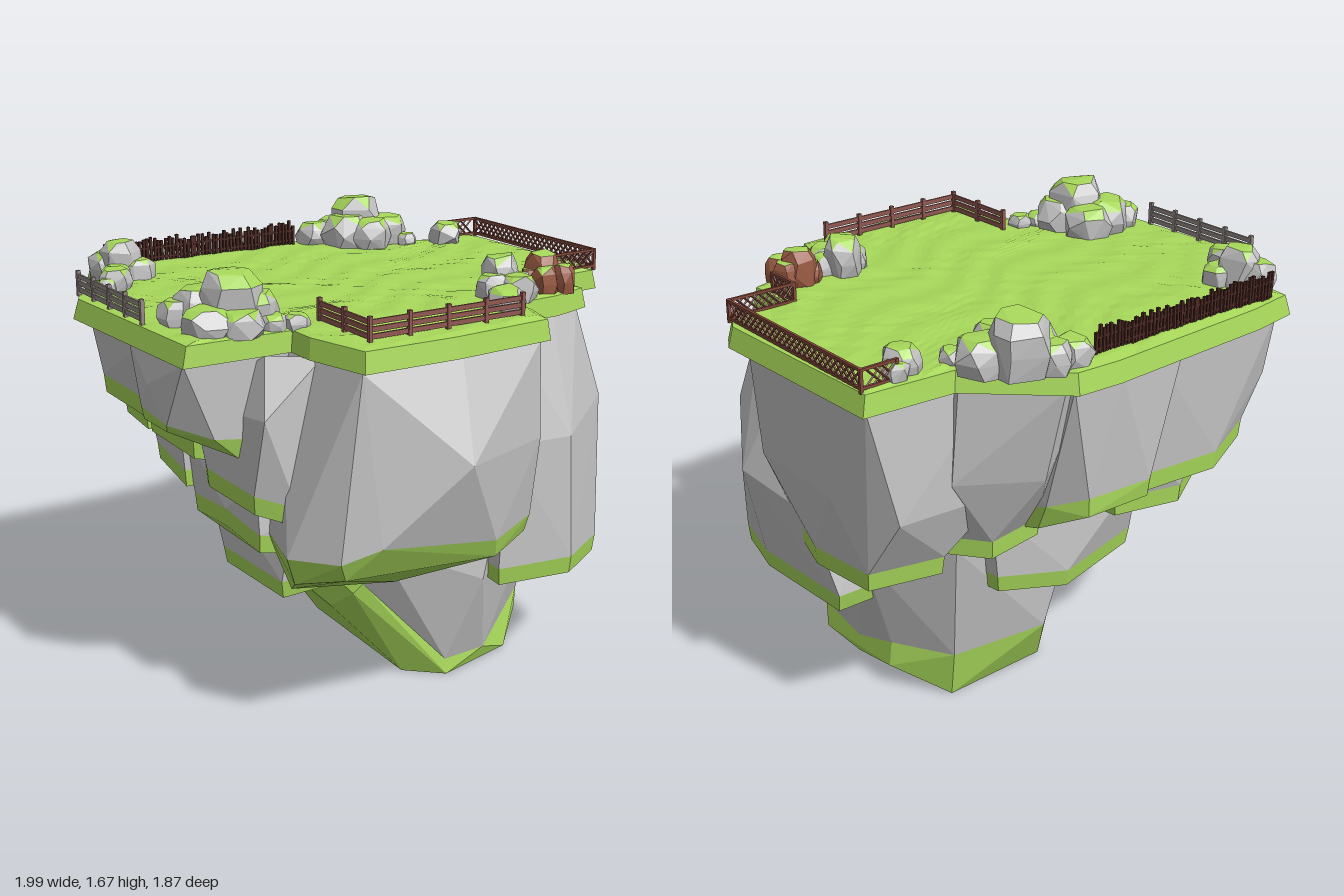
import * as THREE from 'three';
import { mergeGeometries } from 'three/addons/utils/BufferGeometryUtils.js';
import { ConvexGeometry } from 'three/addons/geometries/ConvexGeometry.js';

const mat = (name, color) => {
  const m = new THREE.MeshStandardMaterial({ color, flatShading: true });
  m.name = name;
  return m;
};
let seed = 7;
const rnd = () => (seed = (seed * 16807) % 2147483647) / 2147483647;
const V = (a) => new THREE.Vector3(...a);

export function createModel() {
  seed = 7;
  const root = new THREE.Group();
  const grass = mat('grass', 0xa7d75a), stone = mat('stone', 0xc2c2c2), clay = mat('clay', 0x9c5c44);
  const redWood = mat('redWood', 0x8f5850), darkWood = mat('darkWood', 0x4a2822);
  const brownWood = mat('brownWood', 0x84483a), greyWood = mat('greyWood', 0x948a86);
  const add = (name, geo, m, parent = root) => {
    const mesh = new THREE.Mesh(geo, m);
    mesh.name = name;
    parent.add(mesh);
    return mesh;
  };

  // Meadow slab, its rim flaring out towards the bottom
  const outline = [[-.77, -.87], [-.57, -.9], [.14, -.935], [.32, -.925], [.62, -.65], [.97, -.625], [.99, .15],
    [.95, .22], [.71, .24], [.71, .44], [.54, .49], [.33, .5], [.33, .61], [.29, .75], [-.13, .775], [-.5, .765],
    [-.56, .51], [-.56, .39], [-.97, .38], [-1, -.45], [-.96, -.53], [-.8, -.57]];
  const flare = 0.98;
  const shape = new THREE.Shape(outline.map(([x, z]) => new THREE.Vector2(x, -z)));
  const slab = new THREE.ExtrudeGeometry(shape, { depth: 0.075, bevelEnabled: false });
  slab.rotateX(-Math.PI / 2).translate(0, 1.4, 0);
  const sp = slab.attributes.position;
  for (let i = 0; i < sp.count; i++) {
    if (sp.getY(i) > 1.45) sp.setXYZ(i, sp.getX(i) * flare, 1.475, sp.getZ(i) * flare);
  }
  slab.computeVertexNormals();
  add('meadowSlab', slab, grass);

  // Gently bumpy turf: scaled copies of the outline joined into rings
  const edge = [];
  outline.forEach(([x, z], i) => {
    const [u, w] = outline[(i + 1) % outline.length];
    const n = Math.max(1, Math.round(Math.hypot(u - x, w - z) / 0.07));
    for (let k = 0; k < n; k++) edge.push([x + (u - x) * k / n, z + (w - z) * k / n]);
  });
  const bump = (x, z) => 0.003 * Math.sin(x * 13 + z * 31 + 2 * Math.sin(x * 9))
    + 0.002 * Math.sin(x * 37 - z * 23 + 2 * Math.sin(z * 17));
  const rings = 20, pos = [], idx = [], n = edge.length;
  for (let r = 0; r <= rings; r++) {
    const s = (1 - r / rings) * flare;
    for (const [x, z] of edge) pos.push(x * s, r === 0 ? 1.475 : 1.483 + bump(x * s, z * s), z * s);
  }
  for (let r = 0; r < rings; r++) for (let i = 0; i < n; i++) {
    const a = r * n + i, b = r * n + (i + 1) % n;
    idx.push(a, a + n, b);
    if (r < rings - 1) idx.push(b, a + n, b + n);
  }
  const turf = new THREE.BufferGeometry();
  turf.setAttribute('position', new THREE.Float32BufferAttribute(pos, 3));
  turf.setIndex(idx);
  turf.computeVertexNormals();
  add('turf', turf, grass);

  // Cliff chunks: faceted stone above a grassy underside
  const chunk = (name, upper, ring, lower) => {
    const c = ring.reduce((s, p) => s.add(V(p)), new THREE.Vector3()).divideScalar(ring.length);
    lower ??= ring.map(([x, y, z]) => [c.x + (x - c.x) * 0.97, y - 0.07, c.z + (z - c.z) * 0.97]);
    const g = new THREE.Group();
    g.name = name;
    root.add(g);
    add(name + 'Stone', new ConvexGeometry([...upper, ...ring].map(V)), stone, g);
    add(name + 'Grass', new ConvexGeometry([...ring, ...lower].map(V)), grass, g);
  };
  chunk('frontCliff',
    [[-.54, 1.4, .3], [-.5, 1.4, .75], [-.1, 1.4, .76], [.26, 1.4, .73], [.28, 1.4, .3], [-.17, 1.07, .93], [.25, 1.05, .76]],
    [[-.7, .73, .58], [-.6, .75, .77], [-.47, .8, .83], [.01, .73, .83], [.245, .745, .72], [.24, .74, .3], [-.6, .72, .25]],
    [[-.67, .63, .58], [-.57, .68, .75], [-.46, .73, .79], [.03, .655, .8], [.245, .67, .69], [.23, .59, .6],
      [.2, .56, .3], [-.55, .5, .35], [-.2, .5, .5]]);
  chunk('frontLeftCliff',
    [[.3, 1.4, .45], [.55, 1.4, .44], [.68, 1.4, .42], [.72, 1.4, .1], [.3, 1.4, 0], [.25, .96, .57], [.53, .96, .6],
      [.78, 1.05, .46], [.9, .85, .27], [.86, .8, -.1]],
    [[.22, .48, .58], [.53, .48, .63], [.76, .48, .5], [.82, .48, .27], [.8, .48, -.19], [.3, .48, -.2]]);
  chunk('leftCliff',
    [[.92, 1.4, .14], [.93, 1.4, -.58], [.4, 1.4, -.62], [.4, 1.4, .15], [.8, 1.14, .2], [.92, 1, .08], [.93, 1, -.35],
      [.84, .97, -.63], [.4, .95, -.63]],
    [[.84, .73, -.01], [.9, .73, -.2], [.87, .73, -.48], [.6, .74, -.56], [.4, .74, 0]]);
  chunk('backCliff',
    [[-.2, 1.4, -.88], [.1, 1.4, -.9], [.3, 1.4, -.88], [.35, 1.4, -.3], [-.2, 1.4, -.3]],
    [[.31, .92, -.76], [.22, .97, -.88], [-.05, .97, -.9], [-.16, .92, -.8], [-.15, .8, -.45], [.32, .8, -.45]],
    [[.31, .82, -.72], [.22, .9, -.88], [-.05, .9, -.89], [-.15, .84, -.78], [-.14, .72, -.43], [.32, .73, -.43]]);
  chunk('backRightCliff',
    [[-.74, 1.4, -.83], [-.1, 1.4, -.87], [-.1, 1.4, -.4], [-.7, 1.4, -.4], [-.75, 1.15, -.78]],
    [[-.1, .95, -.84], [-.45, .93, -.84], [-.67, .97, -.76], [-.7, .97, -.5], [-.1, .9, -.45]]);
  chunk('backRightLedge',
    [[-.62, 1.05, -.7], [-.1, 1.05, -.76], [-.1, 1.05, -.3], [-.66, 1.05, -.3]],
    [[-.1, .78, -.68], [-.4, .76, -.72], [-.6, .8, -.62], [-.64, .78, -.3], [-.1, .74, -.3]]);
  chunk('backLeftCliff',
    [[.2, 1.4, -.85], [.33, 1.4, -.87], [.6, 1.4, -.64], [.5, 1.4, -.3], [.62, 1.05, -.63], [.35, 1.05, -.8]],
    [[.25, .82, -.66], [.45, .78, -.64], [.56, .78, -.5], [.3, .78, -.3]]);
  chunk('rightBackCliff',
    [[-.93, 1.4, -.46], [-.93, 1.4, 0], [-.5, 1.4, 0], [-.5, 1.4, -.5]],
    [[-.93, 1.2, -.36], [-.9, 1.17, -.08], [-.72, 1.1, .02], [-.5, 1.06, 0], [-.5, 1.06, -.5], [-.8, 1.15, -.5]]);
  chunk('rightFrontCliff',
    [[-.95, 1.4, -.08], [-.95, 1.4, .34], [-.5, 1.4, .34], [-.5, 1.4, -.1], [-.97, 1.28, .1]],
    [[-.96, 1.18, .02], [-.96, 1.16, .22], [-.84, 1.12, .34], [-.5, 1.07, .34], [-.5, 1.07, -.1], [-.8, 1.12, -.12]],
    [[-.95, 1.13, .02], [-.95, 1.13, .2], [-.74, 1.03, .32], [-.5, 1, .3], [-.5, 1, -.1], [-.74, 1.04, -.1]]);
  chunk('rightMiddleFrontCliff',
    [[-.66, 1.4, .38], [-.72, 1.2, .48], [-.5, 1.4, .5], [-.74, 1.15, -.02], [-.3, 1.2, -.05]],
    [[-.75, .93, .1], [-.74, .92, .43], [-.62, .88, .52], [-.3, .88, .4], [-.3, .86, -.05], [-.68, .9, -.05]]);
  chunk('rightMiddleBackCliff',
    [[-.76, 1.2, -.45], [-.76, 1.2, -.02], [-.3, 1.2, 0], [-.3, 1.2, -.5]],
    [[-.76, 1.02, -.34], [-.72, .98, -.06], [-.3, .9, .05], [-.3, .9, -.5], [-.68, .98, -.48]]);
  chunk('rightLowerCliff',
    [[-.62, .95, -.36], [-.66, .9, .3], [0, .9, .3], [.1, .9, -.5], [-.4, .85, -.5]],
    [[-.68, .76, .1], [-.66, .72, .32], [-.3, .64, .3], [-.2, .64, -.45], [-.6, .68, -.3]]);
  chunk('backLowerCliff',
    [[-.56, .8, -.3], [-.5, .8, .3], [.4, .85, -.1], [.38, .85, -.55], [-.3, .8, -.6]],
    [[-.55, .5, .28], [-.56, .5, -.15], [-.36, .5, -.5], [.05, .5, -.6], [.35, .56, -.55], [.4, .55, 0], [-.1, .52, .3]]);
  chunk('bottomCliff',
    [[-.2, .6, .4], [.25, .6, .5], [.65, .62, .3], [.7, .62, -.2], [.5, .7, -.5], [-.1, .62, -.47], [.2, .42, .51], [.67, .45, .1]],
    [[-.21, .42, .3], [.1, .07, .41], [.29, .07, .4], [.59, .19, .22], [.59, .14, 0], [.58, .2, -.2], [.45, .2, -.42],
      [.05, .2, -.47], [-.22, .45, -.3]],
    [[-.24, .38, .28], [-.23, .26, .1], [-.03, .01, .3], [.1, .01, .42], [.44, .01, .34], [.6, .09, .2], [.59, .07, 0],
      [.59, .1, -.2], [.44, .01, -.39], [0, .01, -.38], [-.22, .28, -.25]]);
  add('cliffCore', new ConvexGeometry([[-.5, 1.41, -.5], [.5, 1.41, -.5], [.5, 1.41, .4], [-.5, 1.41, .4],
    [-.3, .6, -.35], [.5, .6, -.35], [.5, .6, .3], [-.2, .62, .3]].map(V)), stone);

  // Boulders: jittered rings wrapped in a hull, upward faces mossy
  const rock = (x, z, r, top, body, parent) => {
    const pts = [], base = 1.47;
    for (const [k, s] of [[0, .92], [.4, 1.02], [.74, .95], [.97, .66]]) {
      for (let i = 0; i < 6; i++) {
        const a = (i + rnd() * 0.6) * Math.PI / 3, q = r * s * (.87 + rnd() * .18);
        const y = k * (k > .5 ? .94 + rnd() * .09 : 1);
        pts.push(new THREE.Vector3(x + Math.cos(a) * q, base + (top - base) * y, z + Math.sin(a) * q));
      }
    }
    const geo = new ConvexGeometry(pts), nor = geo.attributes.normal;
    for (let i = 0; i < nor.count; i += 3) geo.addGroup(i, 3, nor.getY(i) > 0.66 ? 1 : 0);
    add('boulder', geo, [body, grass], parent);
  };
  const cluster = (name, list, body = stone) => {
    const g = new THREE.Group();
    g.name = name;
    root.add(g);
    list.forEach((b) => rock(...b, body, g));
  };
  cluster('frontRightBoulders', [[-.7, .22, .12, 1.68], [-.76, .13, .12, 1.61], [-.66, .1, .1, 1.6], [-.63, .25, .1, 1.6],
    [-.85, .11, .07, 1.57], [-.82, .27, .1, 1.57], [-.72, .33, .09, 1.56], [-.6, .33, .06, 1.53], [-.52, .36, .05, 1.53]]);
  cluster('backRightBoulders', [[-.7, -.67, .085, 1.63], [-.73, -.72, .08, 1.58], [-.65, -.62, .07, 1.56], [-.75, -.61, .06, 1.55],
    [-.8, -.5, .07, 1.56], [-.75, -.55, .04, 1.53], [-.84, -.48, .04, 1.53]]);
  cluster('backLeftBoulders', [[.45, -.77, .12, 1.68], [.37, -.72, .11, 1.61], [.43, -.63, .09, 1.6], [.54, -.69, .1, 1.6],
    [.36, -.83, .08, 1.58], [.27, -.83, .075, 1.57], [.58, -.58, .045, 1.53], [.75, -.53, .075, 1.57], [.8, -.57, .05, 1.54]]);
  cluster('frontLeftBoulders', [[.37, .34, .08, 1.63], [.31, .38, .07, 1.57], [.38, .44, .075, 1.57], [.42, .38, .06, 1.56],
    [.25, .54, .075, 1.56], [.29, .49, .05, 1.53]]);
  cluster('clayBoulder', [[.56, .36, .075, 1.62], [.52, .42, .055, 1.58], [.6, .43, .055, 1.58], [.61, .35, .055, 1.58],
    [.51, .35, .05, 1.56]], clay);

  // Fences, each merged from straight bars
  const bar = (p, q, t, h = t) => {
    const a = V(p), b = V(q), d = b.clone().sub(a);
    const geo = new THREE.BoxGeometry(t, h, d.length());
    geo.applyQuaternion(new THREE.Quaternion().setFromUnitVectors(new THREE.Vector3(0, 0, 1), d.normalize()));
    return geo.translate(...a.add(b).multiplyScalar(0.5).toArray());
  };
  const at = ([ax, az], [bx, bz], t, y) => [ax + (bx - ax) * t, y, az + (bz - az) * t];
  const railFence = (a, b, posts) => {
    const bars = [1.497, 1.522, 1.547].map((y) => bar(at(a, b, 0, y), at(a, b, 1, y), 0.008, 0.018));
    for (let i = 0; i <= posts; i++) bars.push(bar(at(a, b, i / posts, 1.47), at(a, b, i / posts, 1.568), 0.015));
    return bars;
  };
  const lattice = (a, b) => {
    const len = Math.hypot(b[0] - a[0], b[1] - a[1]), h = 0.06, step = 0.03, bars = [];
    for (const y of [1.488, 1.552]) bars.push(bar(at(a, b, 0, y), at(a, b, 1, y), 0.01));
    for (const t of [0, 1]) bars.push(bar(at(a, b, t, 1.47), at(a, b, t, 1.557), 0.012));
    for (let s = 0; s + h <= len + 0.01; s += step) {
      const t0 = s / len, t1 = Math.min(1, (s + h) / len);
      bars.push(bar(at(a, b, t0, 1.49), at(a, b, t1, 1.55), 0.006), bar(at(a, b, t0, 1.55), at(a, b, t1, 1.49), 0.006));
    }
    return bars;
  };
  add('frontRailFence', mergeGeometries([...railFence([-.42, .35], [-.42, .67], 2), ...railFence([-.42, .67], [.22, .67], 4)]), redWood);
  add('sideRailFence', mergeGeometries(railFence([-.95, -.5], [-.95, .04], 4)), greyWood);
  const corners = [[.81, -.59], [.95, -.59], [.95, .2], [.68, .2], [.68, .34]];
  add('latticeFence', mergeGeometries(corners.slice(1).flatMap((c, i) => lattice(corners[i], c))), brownWood);

  // Ragged picket fence
  const pickets = [1.5, 1.54].map((y) => bar([-.69, y, -.84], [.18, y, -.84], 0.008));
  for (let x = -.685; x < .18; x += 0.0165) {
    pickets.push(bar([x, 1.47, -.84 + (rnd() - .5) * .008], [x + (rnd() - .5) * .008, 1.555 + rnd() * .03, -.84], 0.011));
  }
  add('picketFence', mergeGeometries(pickets), darkWood);
  return root;
}
